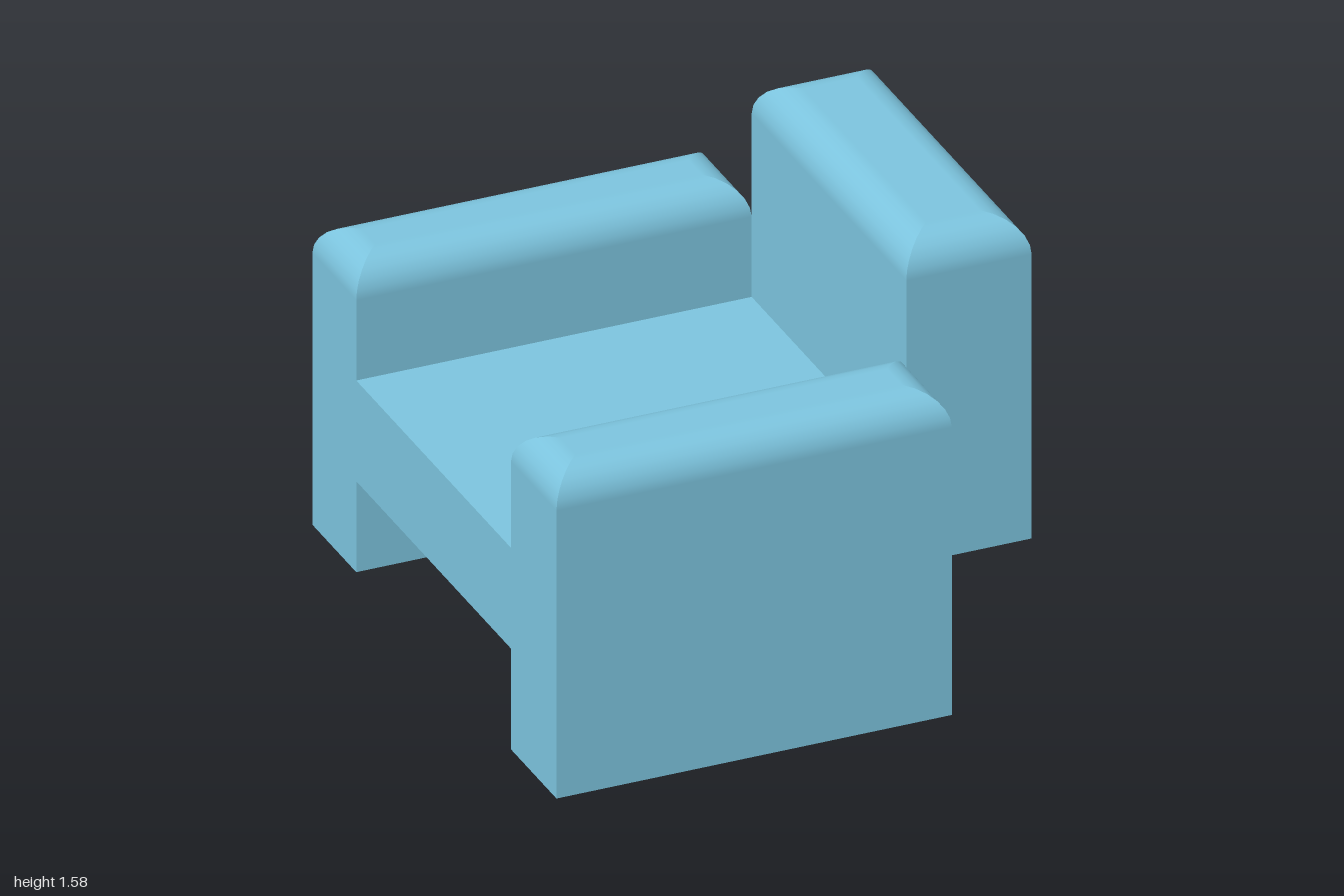
import * as THREE from 'three';

const STEPS = 6; // bands in the rounded top edge

// Box whose four top edges curve inwards, meeting in mitred corners
function cushionGeometry(w, h, d, r) {
  const geo = new THREE.BoxGeometry(w, h, d, 1, STEPS + 1, 1);
  const pos = geo.attributes.position;
  const nor = geo.attributes.normal;
  for (let i = 0; i < pos.count; i++) {
    const ny = nor.getY(i);
    if (ny < -0.5) continue;
    const row = Math.round((pos.getY(i) / h + 0.5) * (STEPS + 1));
    if (row === 0) continue;
    const a = ((row - 1) / STEPS) * Math.PI / 2;
    const inset = r * (1 - Math.cos(a));
    const x = pos.getX(i), z = pos.getZ(i);
    pos.setXYZ(i, x - Math.sign(x) * inset, h / 2 - r + r * Math.sin(a), z - Math.sign(z) * inset);
    // side normals turn smoothly from outward to upward
    if (ny < 0.5) nor.setXYZ(i, nor.getX(i) * Math.cos(a), Math.sin(a), nor.getZ(i) * Math.cos(a));
  }
  return geo;
}

export function createModel() {
  const group = new THREE.Group();
  const upholstery = new THREE.MeshStandardMaterial({ color: 0x7cc4de });
  upholstery.name = 'blue upholstery';

  // Place a part by its extents on each axis
  function addPart(name, [x0, x1], [y0, y1], [z0, z1], radius) {
    const w = x1 - x0, h = y1 - y0, d = z1 - z0;
    const geo = radius ? cushionGeometry(w, h, d, radius) : new THREE.BoxGeometry(w, h, d);
    const mesh = new THREE.Mesh(geo, upholstery);
    mesh.name = name;
    mesh.position.set((x0 + x1) / 2, (y0 + y1) / 2, (z0 + z1) / 2);
    group.add(mesh);
  }

  const seatX = [-0.943, 0.489];
  addPart('seat', seatX, [0.38, 0.76], [-0.64, 0.627]);
  addPart('frontArmrest', seatX, [0, 1.21], [0.627, 1], 0.125);
  addPart('rearArmrest', seatX, [0.037, 1.187], [-1, -0.64], 0.125);
  addPart('backrest', [0.489, 0.943], [0.38, 1.582], [-0.64, 0.627], 0.13);

  return group;
}
